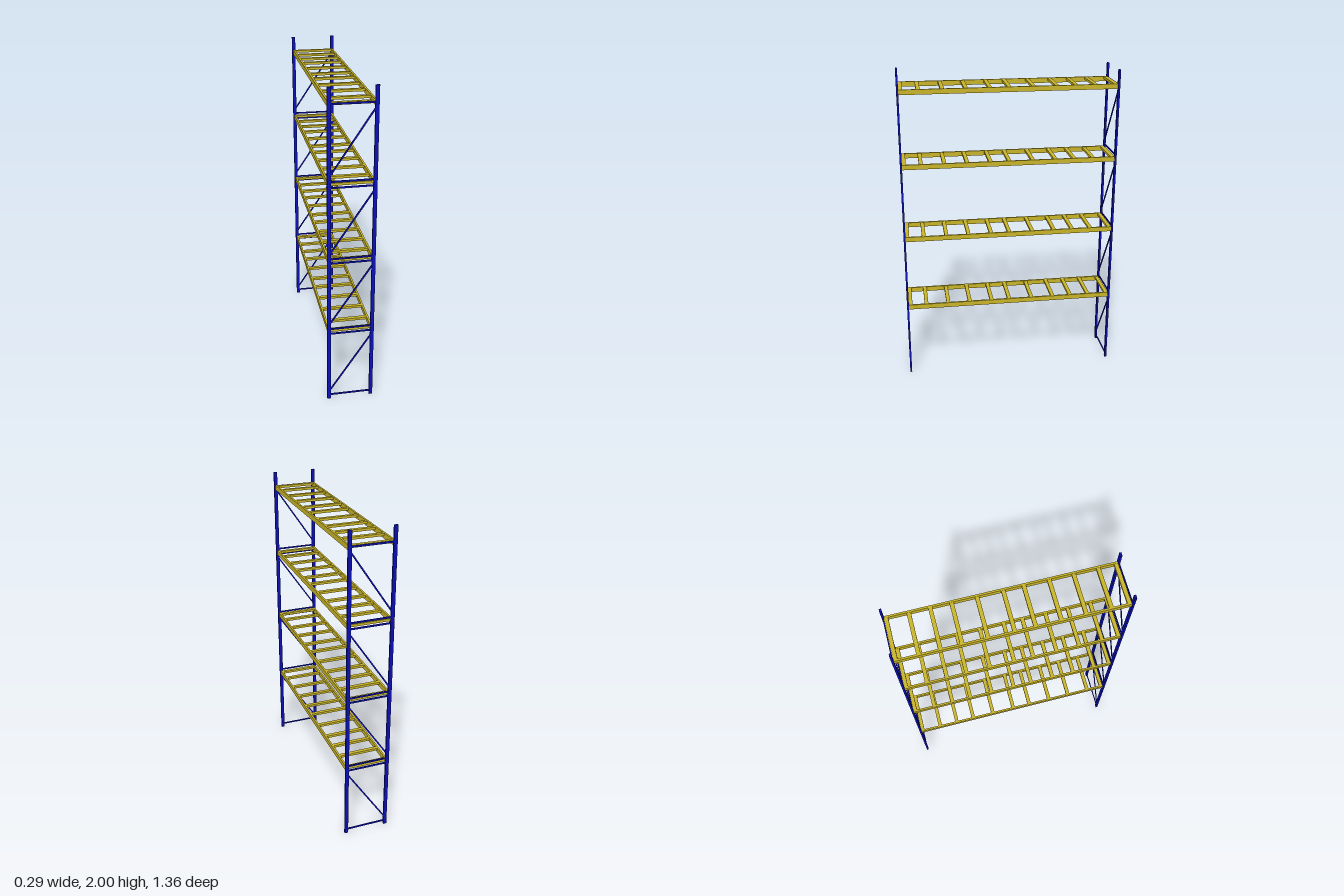
import * as THREE from 'three';

const blue = new THREE.MeshStandardMaterial({ color: 0x0a0fb4 });
const yellow = new THREE.MeshStandardMaterial({ color: 0xc8b428 });

const HALF_W = 0.133;   // post centre in x
const HALF_L = 0.675;   // frame centre in z

function addBox(parent, name, size, pos, material) {
  const mesh = new THREE.Mesh(new THREE.BoxGeometry(...size), material);
  mesh.name = name;
  mesh.position.set(...pos);
  parent.add(mesh);
  return mesh;
}

// Upright end frame: two posts, horizontal ties and diagonal braces
function createFrame(name) {
  const frame = new THREE.Group();
  frame.name = name;
  for (const s of [-1, 1]) addBox(frame, 'post', [0.022, 2, 0.012], [s * HALF_W, 1, 0], blue);

  for (const y of [0.027, 0.473, 0.506, 0.95, 0.979, 1.424, 1.461, 1.906])
    addBox(frame, 'horizontalTie', [2 * HALF_W, 0.01, 0.006], [0, y, 0], blue);

  for (const [y0, y1] of [[0.05, 0.45], [0.534, 0.93], [1.005, 1.402], [1.487, 1.885]]) {
    const dx = 2 * HALF_W, dy = y1 - y0;
    const brace = addBox(frame, 'diagonalBrace', [Math.hypot(dx, dy), 0.009, 0.006], [0, (y0 + y1) / 2, 0], blue);
    brace.rotation.z = Math.atan2(dy, dx);
  }
  return frame;
}

// Shelf level: two long beams joined by cross bars
function createShelf() {
  const shelf = new THREE.Group();
  shelf.name = 'shelf';
  const length = 2 * HALF_L - 0.01;
  for (const s of [-1, 1]) addBox(shelf, 'beam', [0.012, 0.031, length], [s * 0.131, 0, 0], yellow);
  for (const z of [-0.659, -0.532, -0.411, -0.291, -0.147, 0.003, 0.121, 0.267, 0.409, 0.553, 0.657])
    addBox(shelf, 'crossBar', [0.252, 0.015, 0.024], [0, 0.007, z], yellow);
  return shelf;
}

export function createModel() {
  const rack = new THREE.Group();
  rack.name = 'storageRack';
  for (const [name, s] of [['frontFrame', 1], ['backFrame', -1]]) {
    const frame = createFrame(name);
    frame.position.z = s * HALF_L;
    rack.add(frame);
  }
  for (const y of [0.482, 0.959, 1.435, 1.898]) {
    const shelf = createShelf();
    shelf.position.y = y;
    rack.add(shelf);
  }
  return rack;
}
